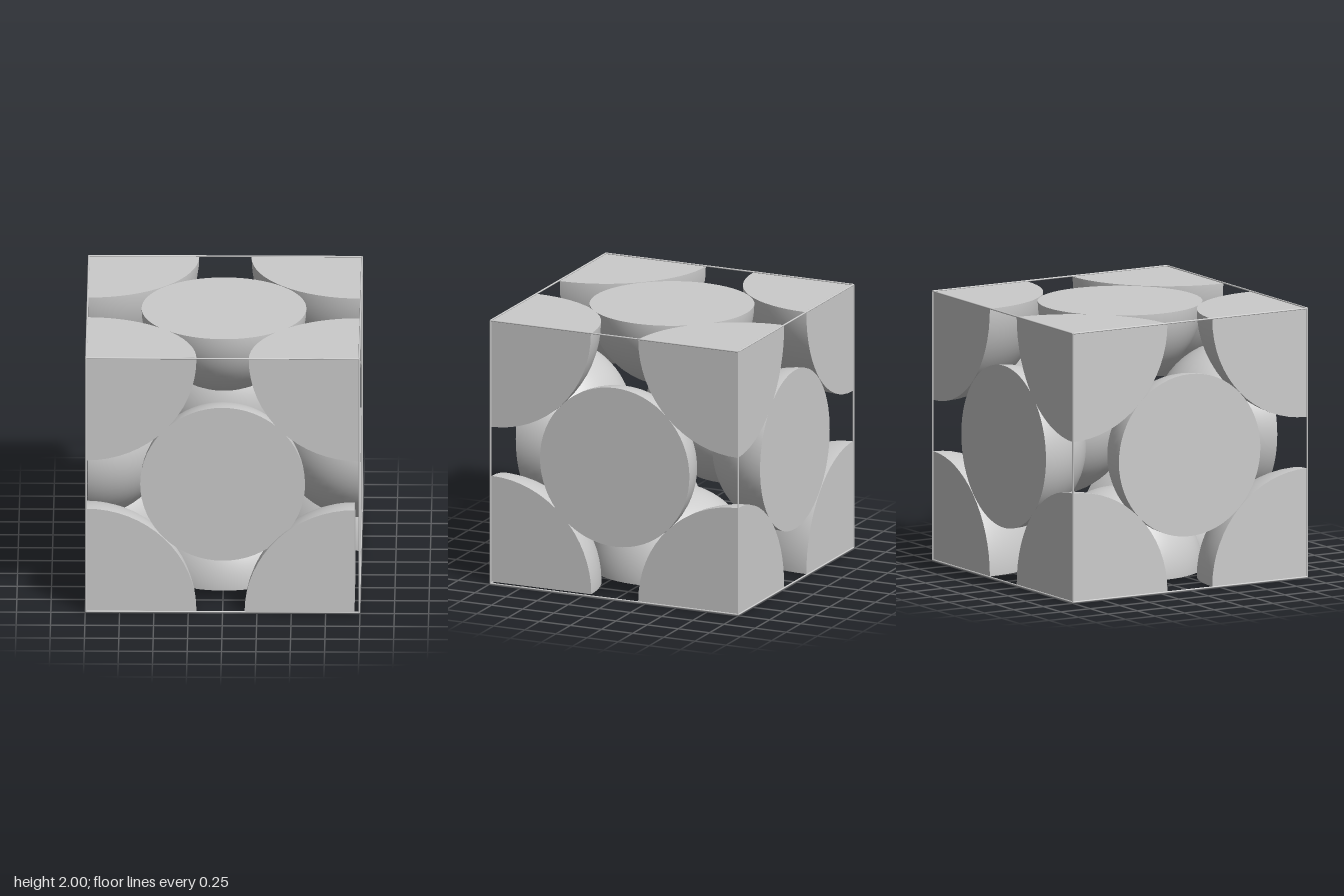
import * as THREE from 'three';
import { mergeGeometries } from 'three/addons/utils/BufferGeometryUtils.js';

const HALF = 0.99, CORNER_R = 0.8, FACE_R = 0.6, ROD_R = 0.006;
const Q = Math.PI / 2;

// Solid eighth of a sphere, bulging towards -x +y +z
function eighthSphere(r) {
  const quarter = (start) => new THREE.CircleGeometry(r, 16, start, Q);
  return mergeGeometries([
    new THREE.SphereGeometry(r, 16, 16, 0, Q, 0, Q),
    quarter(0).rotateY(Math.PI),
    quarter(Q).rotateY(Q),
    quarter(Q).rotateX(Q),
  ]);
}

// Solid half sphere, bulging towards +y
function halfSphere(r) {
  return mergeGeometries([
    new THREE.SphereGeometry(r, 64, 16, 0, Math.PI * 2, 0, Q),
    new THREE.CircleGeometry(r, 64).rotateX(Q),
  ]);
}

export function createModel() {
  const cell = new THREE.Group();
  cell.name = 'cubicCell';
  const grey = new THREE.MeshStandardMaterial({ color: 0xcccccc });
  const add = (name, geometry, x, y, z) => {
    const mesh = new THREE.Mesh(geometry, grey);
    mesh.name = name;
    mesh.position.set(x, y + 1, z);
    cell.add(mesh);
    return mesh;
  };

  // Eight corner atoms, four turns on each level
  const eighth = eighthSphere(CORNER_R);
  for (const flip of [0, 1]) {
    for (let k = 0; k < 4; k++) {
      const turn = new THREE.Quaternion().setFromEuler(new THREE.Euler(flip * Math.PI, k * Q, 0, 'YXZ'));
      const p = new THREE.Vector3(1, -1, -1).applyQuaternion(turn).round().multiplyScalar(HALF);
      // the lower front left corner sits slightly inwards
      if (p.x > 0 && p.y < 0 && p.z > 0) p.set(0.96, -HALF, 1);
      add('cornerAtom', eighth, p.x, p.y, p.z).quaternion.copy(turn);
    }
  }

  // Six face atoms, bulging inwards
  const half = halfSphere(FACE_R);
  const up = new THREE.Vector3(0, 1, 0);
  for (const axis of ['x', 'y', 'z']) {
    for (const side of [-1, 1]) {
      const dir = new THREE.Vector3();
      dir[axis] = side;
      const d = axis === 'z' && side > 0 ? 0.975 : 0.987;
      add('faceAtom', half, dir.x * d, dir.y * d, dir.z * d)
        .quaternion.setFromUnitVectors(up, dir.clone().negate());
    }
  }

  // Twelve thin edge rods
  const e = 1 - ROD_R;
  const rod = new THREE.CylinderGeometry(ROD_R, ROD_R, 2 * e, 12);
  for (const a of [-e, e]) {
    for (const b of [-e, e]) {
      add('edgeRod', rod, a, 0, b);
      add('edgeRod', rod, 0, a, b).rotation.z = Q;
      add('edgeRod', rod, a, b, 0).rotation.x = Q;
    }
  }
  return cell;
}
